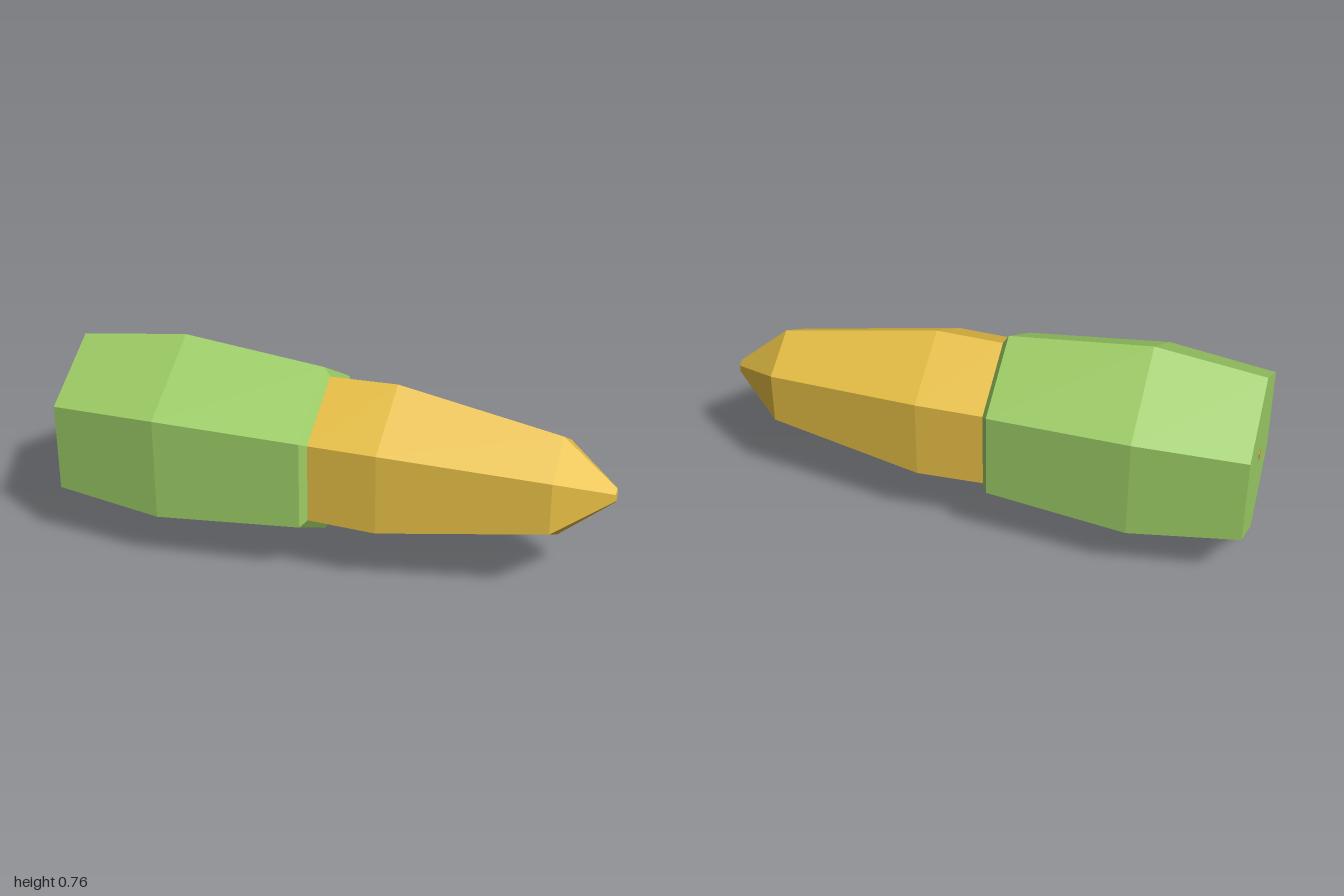
import * as THREE from 'three';

function paint(name, color) {
  const m = new THREE.MeshStandardMaterial({ color });
  m.name = name;
  return m;
}

// Six-sided faceted solid; profile is [radius, distance along the axis], axis turned to +x, corners up and down
function hexSolid(name, profile, material) {
  const points = profile.map(([r, t]) => new THREE.Vector2(r, t));
  const geo = new THREE.LatheGeometry(points, 6).toNonIndexed();
  geo.rotateX(-Math.PI / 2).rotateY(-Math.PI / 2);
  geo.computeVertexNormals();
  const mesh = new THREE.Mesh(geo, material);
  mesh.name = name;
  return mesh;
}

export function createModel() {
  const green = paint('leaf green', 0x9ccc65);
  const gold = paint('gold', 0xe6be45);
  const orange = paint('burnt orange', 0xd08a30);

  const model = new THREE.Group();
  model.name = 'roundBody';

  // Barrel-shaped casing with a bevelled front rim
  model.add(hexSolid('casing', [
    [0, 0], [0.329, 0], [0.382, 0.4], [0.329, 0.923], [0.295, 0.944],
  ], green));

  // Tapered nose with a small blunt tip
  model.add(hexSolid('nose', [
    [0.295, 0.944], [0.302, 1.192], [0.195, 1.782], [0.026, 1.977], [0, 1.977],
  ], gold));

  // Small dot in the middle of the back face
  model.add(hexSolid('backDot', [
    [0, -0.003], [0.02, -0.003], [0.02, 0],
  ], orange));

  // Swing the axis toward the front and set it on the ground
  model.rotation.y = -0.211;
  model.position.set(-0.94, 0.383, -0.13);

  const root = new THREE.Group();
  root.name = 'model';
  root.add(model);
  return root;
}
